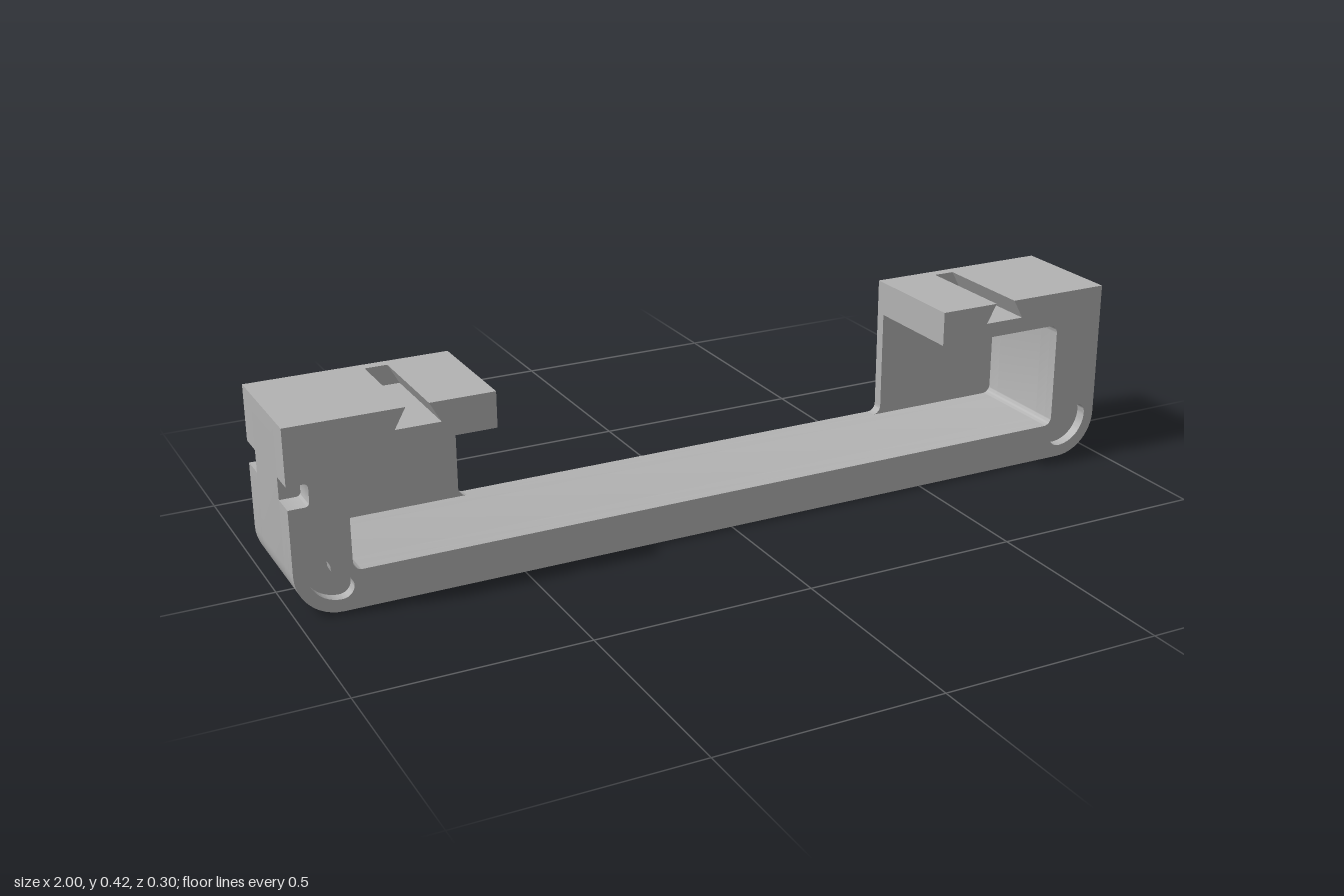
import * as THREE from 'three';
import { toCreasedNormals } from 'three/addons/utils/BufferGeometryUtils.js';

const K = 0.4477; // bezier handle inset for a quarter circle

// Closed shape from [x, y, radius] corners
function roundedShape(corners) {
  const shape = new THREE.Shape();
  const n = corners.length;
  corners.forEach(([x, y, r = 0], i) => {
    const p = new THREE.Vector2(x, y);
    const toward = (c, d) => new THREE.Vector2(c[0], c[1]).sub(p).setLength(d).add(p);
    const prev = corners[(i + n - 1) % n], next = corners[(i + 1) % n];
    const a = r ? toward(prev, r) : p;
    if (i === 0) shape.moveTo(a.x, a.y);
    else shape.lineTo(a.x, a.y);
    if (r) {
      const h1 = toward(prev, r * K), h2 = toward(next, r * K), b = toward(next, r);
      shape.bezierCurveTo(h1.x, h1.y, h2.x, h2.y, b.x, b.y);
    }
  });
  shape.closePath();
  return shape;
}

// Cross-section of the whole bracket, counter-clockwise from the lower right corner
function bodyShape(hollow, notched) {
  const half = hollow
    ? [[1, 0, 0.1], [1, 0.42],
      [0.745, 0.42], [0.77, 0.375], [0.67, 0.375], [0.695, 0.42], // dovetail groove
      [0.55, 0.42], [0.55, 0.34], [0.875, 0.34, 0.02], [0.875, 0.086, 0.02]] // pocket
    : [[1, 0, 0.1], [1, 0.42], [0.55, 0.42], [0.55, 0.086, 0.02]];
  const mirrored = half.map(([x, y, r]) => [-x, y, r]).reverse();
  if (notched) {
    mirrored.splice(-1, 0, [-1, 0.295], [-0.955, 0.295, 0.01], [-0.955, 0.245, 0.01], [-1, 0.245]);
  }
  return roundedShape([...half, ...mirrored]);
}

// Curved kidney outline following a lower corner
function kidneyPoints(side, h) {
  const cx = 0.901, cy = 0.101, r = 0.047, q = Math.PI / 2;
  const s = new THREE.Shape();
  s.absarc(cx, cy, r + h, -q, 0, false);
  s.absarc(cx + r, cy, h, 0, Math.PI, false);
  s.absarc(cx, cy, r - h, 0, -q, true);
  s.absarc(cx, cy - r, h, q, 3 * q, false);
  return s.getPoints(10).map((p) => new THREE.Vector2(p.x * side, p.y));
}

export function createModel() {
  const group = new THREE.Group();
  const grey = new THREE.MeshStandardMaterial({ color: 0xb2b2b2 });
  grey.name = 'grey';

  function slab(name, shape, z0, z1) {
    const geo = new THREE.ExtrudeGeometry(shape, { depth: z1 - z0, bevelEnabled: false, curveSegments: 12 });
    geo.translate(0, 0, z0);
    const mesh = new THREE.Mesh(toCreasedNormals(geo, 0.6), grey);
    mesh.name = name;
    group.add(mesh);
  }

  // Body as layers from back to front
  slab('backWall', bodyShape(false, true), -0.13, -0.105);
  slab('rearNotchedFrame', bodyShape(true, true), -0.105, -0.07);
  slab('middleFrame', bodyShape(true, false), -0.07, 0.09);
  slab('frontNotchedFrame', bodyShape(true, true), 0.09, 0.125);

  // Front layer with the curved sockets
  const face = bodyShape(true, true);
  for (const side of [1, -1]) face.holes.push(new THREE.Path(kidneyPoints(side, 0.026)));
  slab('frontSocketFrame', face, 0.125, 0.15);

  // Matching curved lugs on the back
  for (const side of [1, -1]) {
    slab(side > 0 ? 'leftLug' : 'rightLug', new THREE.Shape(kidneyPoints(side, 0.021)), -0.15, -0.13);
  }
  return group;
}
